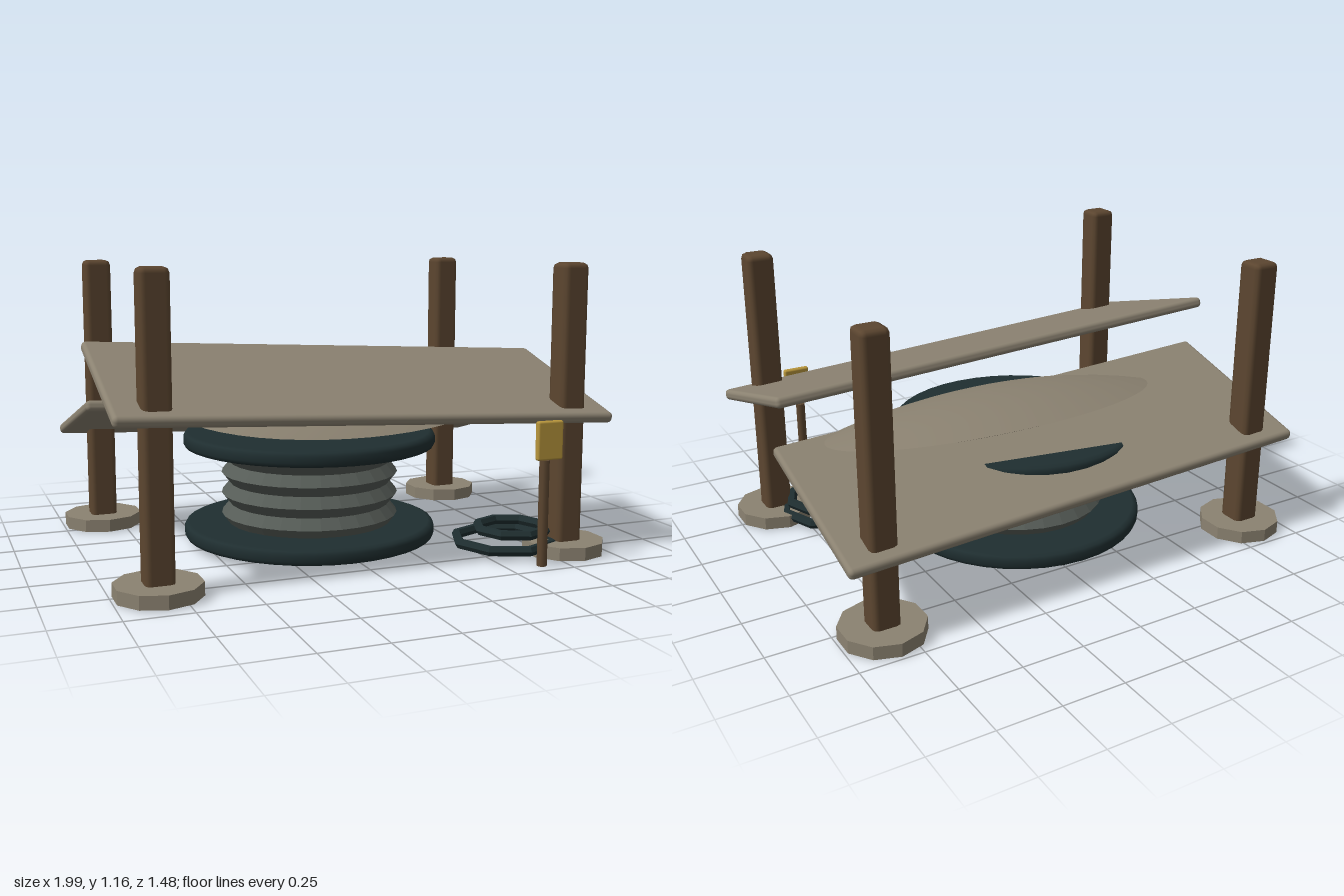
import * as THREE from 'three';
import { RoundedBoxGeometry } from 'three/addons/geometries/RoundedBoxGeometry.js';

const paint = (name, color, extra = {}) => {
  const m = new THREE.MeshStandardMaterial({ color, ...extra });
  m.name = name;
  return m;
};

export function createModel() {
  const model = new THREE.Group();
  model.name = 'shelter';

  const canvas = paint('weathered canvas', 0x8b8271);
  const canvasFlat = paint('stone canvas', 0x8b8271, { flatShading: true });
  const wood = paint('dark wood', 0x5c4630);
  const teal = paint('dark teal', 0x1f2e30);
  const tealFlat = paint('dark teal faceted', 0x1f2e30, { flatShading: true });
  const rubber = paint('grey rubber', 0x565c57, { flatShading: true });
  const ochre = paint('ochre', 0xb8963c);

  const add = (name, geometry, material, x = 0, y = 0, z = 0, parent = model) => {
    const mesh = new THREE.Mesh(geometry, material);
    mesh.name = name;
    mesh.position.set(x, y, z);
    parent.add(mesh);
    return mesh;
  };
  const lathe = (pts, sides) =>
    new THREE.LatheGeometry(pts.map(([r, y]) => new THREE.Vector2(r, y)), sides);

  // Four chamfered posts, each standing in a ten-sided footing
  const postGeo = new RoundedBoxGeometry(0.11, 1.165, 0.11, 1, 0.022);
  const footGeo = new THREE.CylinderGeometry(0.165, 0.165, 0.052, 10);
  for (const x of [-0.832, 0.832]) {
    for (const z of [0.535, -0.575]) {
      add('post', postGeo, wood, x, 0.5825, z);
      add('footing', footGeo, canvasFlat, x, 0.029, z);
    }
  }

  // Two roof panels pitched in opposite directions, both leaning to one side
  const panelGeo = new RoundedBoxGeometry(1.985, 0.044, 0.73, 2, 0.018);
  for (const [name, y, z, pitch] of [
    ['frontRoofPanel', 0.698, 0.283, 0.28],
    ['backRoofPanel', 0.475, -0.325, 0.28],
  ]) {
    const panel = add(name, panelGeo, canvas, 0, y, z);
    panel.rotation.set(pitch, 0, -0.048, 'ZYX');
    if (name === 'backRoofPanel') panel.rotation.x = -pitch * 1.1 + 0.028;
  }
  model.getObjectByName('backRoofPanel').rotation.x = 0.28;
  // The rear panel drops toward the back
  model.getObjectByName('backRoofPanel').rotation.x *= -1;

  // Lens-shaped cover: domed top and shallower belly meeting at a sharp rim
  const cover = new THREE.Group();
  cover.name = 'cover';
  cover.position.set(0.115, 0.577, -0.135);
  cover.rotation.set(0.22, 0.134, 0);
  model.add(cover);
  const radii = [0, 0.15, 0.3, 0.45, 0.6, 0.75, 0.9, 1];
  const cap = (h) => radii.map((r) => [r, h * (1 - r * r)]);
  const topCap = lathe(cap(0.085).reverse(), 48);
  const belly = lathe(cap(-0.06), 48);
  for (const g of [topCap, belly]) g.scale(0.739, 1, 0.447);
  add('coverTop', topCap, canvas, 0, 0, 0, cover);
  add('coverBelly', belly, canvas, 0, 0, 0, cover);

  // Bellows between two round-edged discs
  const spool = new THREE.Group();
  spool.name = 'bellows';
  spool.position.set(-0.058, 0, -0.02);
  model.add(spool);
  const discGeo = lathe([[0, -0.0325], [0.5, -0.0325], [0.517, -0.026], [0.524, -0.012],
    [0.524, 0.012], [0.517, 0.026], [0.5, 0.0325], [0, 0.0325]], 40);
  add('lowerDisc', discGeo, teal, 0, 0.0575, 0, spool);
  add('upperDisc', discGeo, teal, 0, 0.4375, 0, spool);
  const pleats = [[0.335, 0.08]];
  for (let i = 0; i < 4; i++) {
    const y = 0.125 + i * 0.086;
    pleats.push([0.368, y], [0.333, y + 0.043]);
  }
  add('pleats', lathe(pleats, 28), rubber, 0, 0, 0, spool);

  // Two loose coils of hose lying beside a post
  const coil = (name, r, x, y, z) => {
    const g = new THREE.TorusGeometry(r, 0.021, 6, 8).rotateX(Math.PI / 2);
    add(name, g, tealFlat, x, y, z);
  };
  coil('largeCoil', 0.2, 0.625, 0.042, 0.422);
  coil('smallCoil', 0.14, 0.66, 0.087, 0.42);

  // Marker: thin stake with a blank plate
  add('markerStake', new THREE.CylinderGeometry(0.02, 0.02, 0.415, 8), wood, 0.635, 0.2125, 0.699);
  add('markerPlate', new RoundedBoxGeometry(0.11, 0.15, 0.026, 2, 0.008), ochre, 0.635, 0.502, 0.728);

  return model;
}
